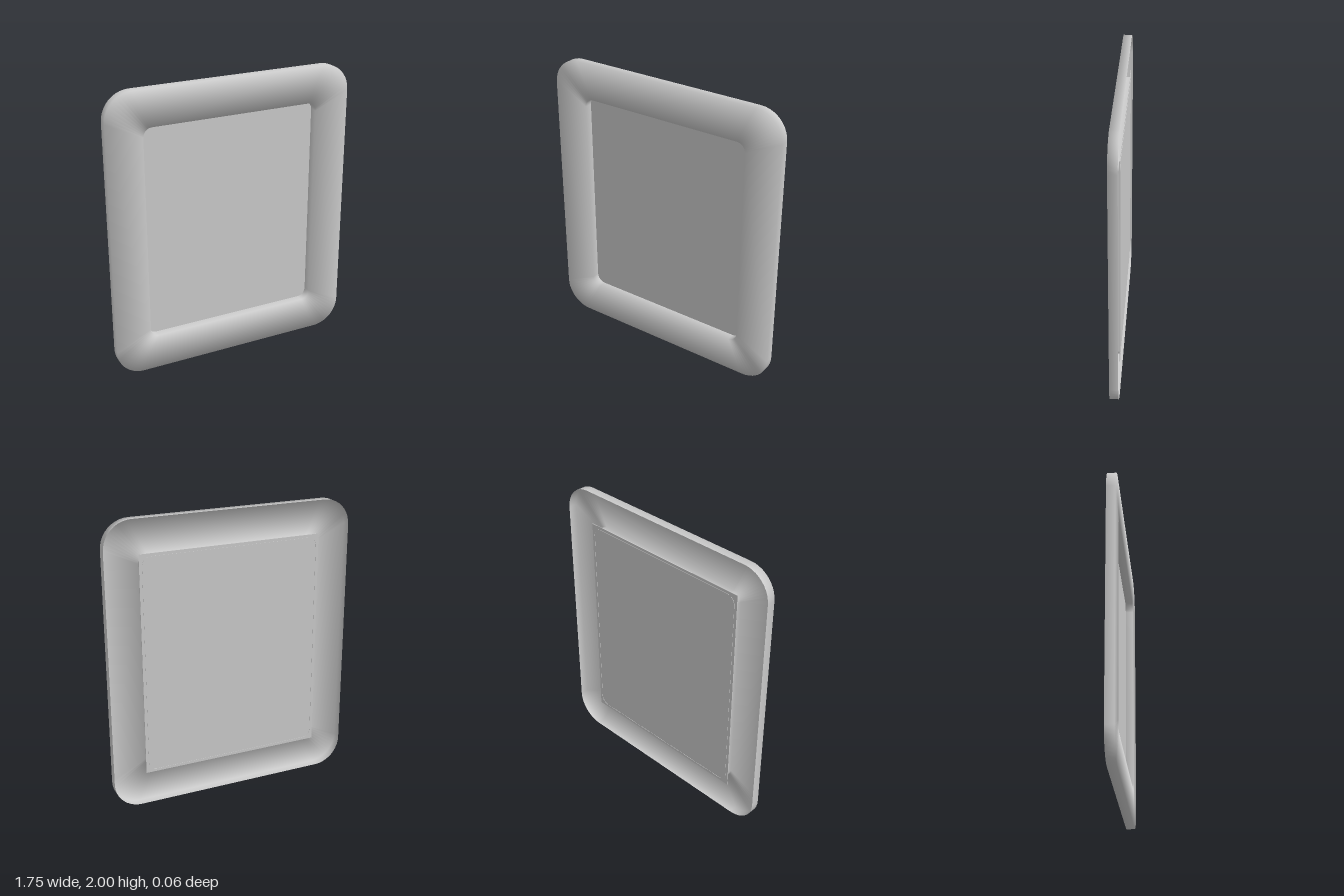
import * as THREE from 'three';

const MAT = new THREE.MeshStandardMaterial({ color: 0xcccccc, side: THREE.DoubleSide });
const CORNER_STEPS = 10;
const DEPTH = 0.03;

// Rounded rectangle, counter-clockwise from the front: position and outward direction
function roundedLoop(halfW, halfH, radius) {
  const points = [];
  for (let corner = 0; corner < 4; corner++) {
    const cx = (corner === 0 || corner === 3 ? 1 : -1) * (halfW - radius);
    const cy = (corner < 2 ? 1 : -1) * (halfH - radius);
    for (let s = 0; s <= CORNER_STEPS; s++) {
      const a = (corner + s / CORNER_STEPS) * Math.PI / 2;
      const dx = Math.cos(a), dy = Math.sin(a);
      points.push({ x: cx + radius * dx, y: cy + radius * dy, dx, dy });
    }
  }
  return points;
}

// Hollow channel: outer wall, front face and inner wall, softly shaded over the edges
function frameGeometry() {
  const outer = roundedLoop(0.875, 1, 0.19);
  const inner = roundedLoop(0.625, 0.75, 0.06);
  const k = Math.SQRT1_2;
  const rings = [
    { loop: outer, z: -DEPTH, out: 1, front: 0 },
    { loop: outer, z: DEPTH, out: k, front: k },
    { loop: inner, z: DEPTH, out: -k, front: k },
    { loop: inner, z: -DEPTH, out: -1, front: 0 },
  ];
  const positions = [], normals = [], index = [];
  const n = outer.length;
  rings.forEach(({ loop, z, out, front }, r) => {
    loop.forEach((p, j) => {
      positions.push(p.x, p.y, z);
      normals.push(p.dx * out, p.dy * out, front);
      if (r === rings.length - 1) return;
      const a = r * n + j, b = r * n + (j + 1) % n;
      index.push(a, b, b + n, a, b + n, a + n);
    });
  });
  const geometry = new THREE.BufferGeometry();
  geometry.setAttribute('position', new THREE.Float32BufferAttribute(positions, 3));
  geometry.setAttribute('normal', new THREE.Float32BufferAttribute(normals, 3));
  geometry.setIndex(index);
  return geometry;
}

export function createModel() {
  const group = new THREE.Group();
  group.name = 'pictureFrame';

  const frame = new THREE.Mesh(frameGeometry(), MAT);
  frame.name = 'frame';
  frame.position.y = 1;
  group.add(frame);

  // Flat panel behind the opening; the frame's inner lip just shows through its back
  const panel = new THREE.Mesh(new THREE.BoxGeometry(1.29, 1.54, 0.004), MAT);
  panel.name = 'backPanel';
  panel.position.set(0, 1, -0.026);
  group.add(panel);

  return group;
}
